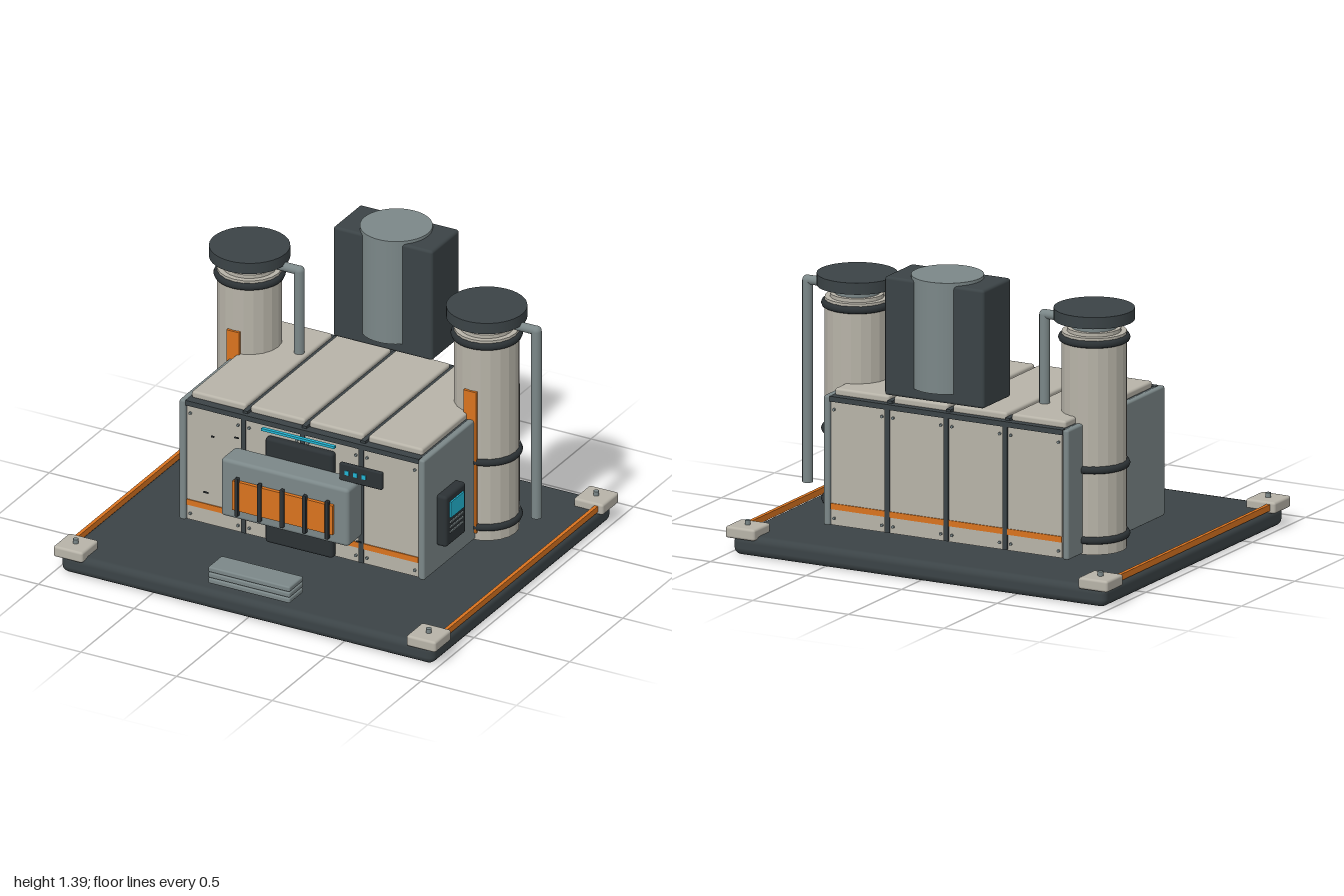
import * as THREE from 'three';
import { RoundedBoxGeometry } from 'three/addons/geometries/RoundedBoxGeometry.js';

const mat = (color, flatShading = false) => {
  const m = new THREE.MeshStandardMaterial({ color });
  m.flatShading = flatShading;
  return m;
};
const DARK = mat(0x3b4346), BLACK = mat(0x2c3235), BEIGE = mat(0xb7b3a8), GREY = mat(0x7b8788);
const ORANGE = mat(0xd9731f), CYAN = mat(0x22b5d3), TANK = mat(0xb7b3a8, true);

function add(parent, name, geo, material, x = 0, y = 0, z = 0) {
  const m = new THREE.Mesh(geo, material);
  m.name = name;
  m.position.set(x, y, z);
  parent.add(m);
  return m;
}

// Box given by its limits on each axis; r > 0 rounds the edges
function box(parent, name, material, [x0, x1], [y0, y1], [z0, z1], r = 0) {
  const w = x1 - x0, h = y1 - y0, d = z1 - z0;
  const geo = r ? new RoundedBoxGeometry(w, h, d, 2, r) : new THREE.BoxGeometry(w, h, d);
  return add(parent, name, geo, material, (x0 + x1) / 2, (y0 + y1) / 2, (z0 + z1) / 2);
}

// Upright cylinder between two heights
function cyl(parent, name, material, r, y0, y1, x, z, sides = 32) {
  return add(parent, name, new THREE.CylinderGeometry(r, r, y1 - y0, sides), material, x, (y0 + y1) / 2, z);
}

function group(parent, name) {
  const g = new THREE.Group();
  g.name = name;
  parent.add(g);
  return g;
}

function buildBase(root) {
  const g = group(root, 'base');
  box(g, 'basePlate', DARK, [-0.975, 0.975], [0, 0.097], [-0.845, 0.845], 0.035);
  for (const sx of [-1, 1]) {
    add(g, 'edgeRail', new THREE.BoxGeometry(0.018, 0.03, 1.44), ORANGE, sx * 0.965, 0.11, 0);
    for (const sz of [-1, 1]) {
      add(g, 'cornerBlock', new RoundedBoxGeometry(0.154, 0.055, 0.154, 2, 0.012), BEIGE, sx * 0.923, 0.109, sz * 0.788);
      cyl(g, 'cornerBolt', GREY, 0.013, 0.13, 0.158, sx * 0.923, sz * 0.788, 12);
    }
  }
}

function buildHousing(root) {
  const g = group(root, 'housing');
  box(g, 'core', DARK, [-0.615, 0.615], [0.125, 0.735], [-0.567, 0.302]);
  for (const sx of [-1, 1])
    add(g, 'sidePanel', new RoundedBoxGeometry(0.032, 0.615, 0.91, 2, 0.01), GREY, sx * 0.625, 0.43, -0.13);

  // Four bays of wall and roof panels, with bolts and an orange stripe
  const boltGeo = new THREE.CylinderGeometry(0.007, 0.007, 0.012, 8).rotateX(Math.PI / 2);
  for (let i = 0; i < 4; i++) {
    const x = (i - 1.5) * 0.308;
    box(g, 'roofPanel', BEIGE, [x - 0.142, x + 0.142], [0.73, 0.767], [-0.545, 0.275], 0.012);
    for (const [face, out] of [[0.302, 1], [-0.567, -1]]) {
      add(g, 'wallPanel', new THREE.BoxGeometry(0.286, 0.585, 0.02), BEIGE, x, 0.42, face);
      add(g, 'wallStripe', new THREE.BoxGeometry(0.286, 0.028, 0.006), ORANGE, x, 0.216, face + out * 0.012);
      for (const bx of [-0.125, 0.125])
        for (const by of [0.16, 0.675]) add(g, 'panelBolt', boltGeo, GREY, x + bx, by, face + out * 0.013);
    }
  }
  // Seam ribs and top edge trims
  for (const [face, out] of [[0.302, 1], [-0.567, -1]]) {
    for (const x of [-0.308, 0, 0.308])
      add(g, 'seamRib', new THREE.BoxGeometry(0.024, 0.6, 0.03), DARK, x, 0.43, face + out * 0.002);
    add(g, 'topTrim', new THREE.BoxGeometry(1.22, 0.025, 0.03), DARK, 0, 0.724, face + out * 0.002);
  }
  for (const x of [-0.308, 0, 0.308])
    box(g, 'roofSeam', DARK, [x - 0.012, x + 0.012], [0.73, 0.748], [-0.56, 0.3]);
}

function buildFrontUnit(root) {
  const g = group(root, 'frontUnit');
  box(g, 'backPlate', BLACK, [-0.178, 0.176], [0.13, 0.668], [0.31, 0.352], 0.015);
  box(g, 'intakeBox', GREY, [-0.335, 0.333], [0.288, 0.583], [0.345, 0.485], 0.018);
  box(g, 'intakeGrille', ORANGE, [-0.263, 0.26], [0.343, 0.492], [0.47, 0.503]);
  for (let i = -2; i <= 2; i++)
    box(g, 'grilleBar', BLACK, [i * 0.118 - 0.009, i * 0.118 + 0.009], [0.32, 0.515], [0.496, 0.518], 0.004);
  box(g, 'lightStrip', CYAN, [-0.192, 0.19], [0.703, 0.715], [0.342, 0.36]);

  // Small control box with three lamps
  box(g, 'controlBox', BLACK, [0.243, 0.465], [0.58, 0.668], [0.386, 0.408], 0.006);
  for (const x of [0.284, 0.329, 0.373])
    box(g, 'controlLamp', CYAN, [x - 0.011, x + 0.011], [0.615, 0.637], [0.402, 0.412]);

  // Small loose markers in front of the wall
  for (const [x, y, w] of [[-0.435, 0.62, 0.016], [-0.31, 0.645, 0.022], [-0.47, 0.325, 0.026], [0.33, 0.27, 0.026]])
    add(g, 'wallMark', new THREE.BoxGeometry(w, 0.007, 0.005), BLACK, x, y, 0.378);

  // Stack of step slabs
  for (let i = 0; i < 3; i++)
    box(g, 'stepSlab', GREY, [-0.215, 0.213], [0.12 + i * 0.029, 0.147 + i * 0.029], [0.69, 0.82], 0.008);
}

function buildSideConsole(root) {
  const g = group(root, 'sideConsole');
  box(g, 'consoleCase', BLACK, [0.635, 0.692], [0.25, 0.51], [0.02, 0.206], 0.015);
  box(g, 'consoleScreen', CYAN, [0.685, 0.7], [0.395, 0.475], [0.052, 0.176]);
  for (const y of [0.37, 0.345, 0.32])
    box(g, 'consoleSlat', GREY, [0.685, 0.698], [y - 0.004, y + 0.004], [0.052, 0.176]);
}

function buildTank(root, x) {
  const g = group(root, 'tank');
  g.position.set(x, 0, -0.303);
  cyl(g, 'tankBody', TANK, 0.15, 0.12, 1.145, 0, 0, 20);
  cyl(g, 'tankShoulder', TANK, 0.125, 1.14, 1.162, 0, 0, 20);
  cyl(g, 'tankNeck', GREY, 0.105, 1.14, 1.183, 0, 0);
  cyl(g, 'tankCap', DARK, 0.186, 1.199, 1.254, 0, 0, 40);
  for (const y of [0.187, 0.52, 1.115]) {
    const band = add(g, 'tankBand', new THREE.TorusGeometry(0.148, 0.018, 8, 36), BLACK, 0, y, 0);
    band.rotation.x = Math.PI / 2;
  }
  box(g, 'tankStripe', ORANGE, [-0.033, 0.033], [0.16, 0.882], [0.13, 0.16]);

  // Outlet pipe, always on the +x side
  const arm = add(g, 'pipeArm', new THREE.CylinderGeometry(0.022, 0.022, 0.24, 16), GREY, 0.14, 1.188, 0);
  arm.rotation.z = Math.PI / 2;
  add(g, 'pipeElbow', new THREE.SphereGeometry(0.0245, 16, 12), GREY, 0.26, 1.186, 0);
  cyl(g, 'downPipe', GREY, 0.0245, 0.23, 1.186, 0.26, 0, 16);
}

function buildStack(root) {
  const g = group(root, 'exhaustStack');
  box(g, 'stackCasing', DARK, [-0.26, 0.26], [0.815, 1.377], [-0.697, -0.437], 0.014);
  cyl(g, 'stackDrum', GREY, 0.167, 0.865, 1.392, 0, -0.567, 40);
}

export function createModel() {
  const root = new THREE.Group();
  root.name = 'generatorPlant';
  buildBase(root);
  buildHousing(root);
  buildFrontUnit(root);
  buildSideConsole(root);
  for (const x of [-0.62, 0.62]) buildTank(root, x);
  buildStack(root);
  return root;
}
